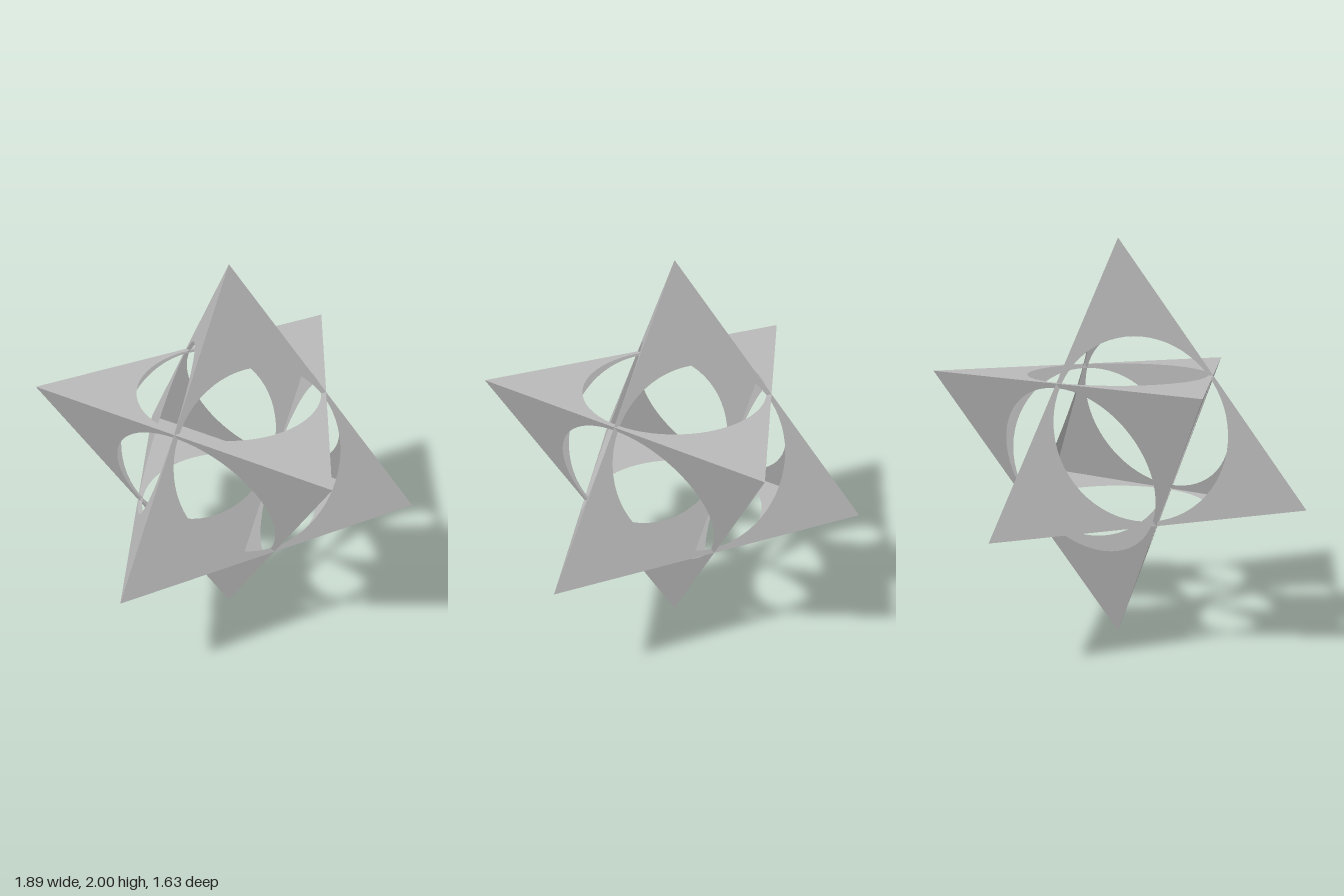
import * as THREE from 'three';

const FACE_RADIUS = Math.sqrt(8) / 3; // centre of a face to its corner
const HOLE_RADIUS = 0.448;

// Triangular plate with a round opening that nearly touches its edges
function plateGeometry() {
  const corners = [0, 1, 2].map((i) => {
    const a = Math.PI / 2 + (i * Math.PI * 2) / 3;
    return new THREE.Vector2(Math.cos(a), Math.sin(a)).multiplyScalar(FACE_RADIUS);
  });
  const shape = new THREE.Shape(corners);
  const hole = new THREE.Path();
  hole.absarc(0, 0, HOLE_RADIUS, 0, Math.PI * 2, true);
  shape.holes.push(hole);
  return new THREE.ShapeGeometry(shape, 32);
}

// Regular tetrahedron corners at distance 1 from the middle; sign -1 is the inverted one
function tetraCorners(sign) {
  const corners = [new THREE.Vector3(0, sign, 0)];
  for (let i = 0; i < 3; i++) {
    const a = (i * Math.PI * 2) / 3;
    corners.push(new THREE.Vector3(
      sign * FACE_RADIUS * Math.cos(a), -sign / 3, sign * FACE_RADIUS * Math.sin(a)));
  }
  return corners;
}

function openTetrahedron(name, sign, geometry, material) {
  const group = new THREE.Group();
  group.name = name;
  const corners = tetraCorners(sign);
  corners.forEach((opposite, i) => {
    // Each plate lies opposite one corner and points outward
    const normal = opposite.clone().negate();
    const centre = normal.clone().divideScalar(3);
    const up = corners[(i + 1) % 4].clone().sub(centre).normalize();
    const side = new THREE.Vector3().crossVectors(up, normal);
    const plate = new THREE.Mesh(geometry, material);
    plate.name = 'piercedFace' + (i + 1);
    plate.quaternion.setFromRotationMatrix(new THREE.Matrix4().makeBasis(side, up, normal));
    plate.position.copy(centre);
    group.add(plate);
  });
  group.position.y = 1;
  return group;
}

export function createModel() {
  const grey = new THREE.MeshStandardMaterial({ color: 0xb8b8b8, side: THREE.DoubleSide });
  grey.name = 'grey';
  const geometry = plateGeometry();
  const model = new THREE.Group();
  model.name = 'piercedStar';
  model.add(openTetrahedron('uprightTetrahedron', 1, geometry, grey));
  model.add(openTetrahedron('invertedTetrahedron', -1, geometry, grey));
  return model;
}
